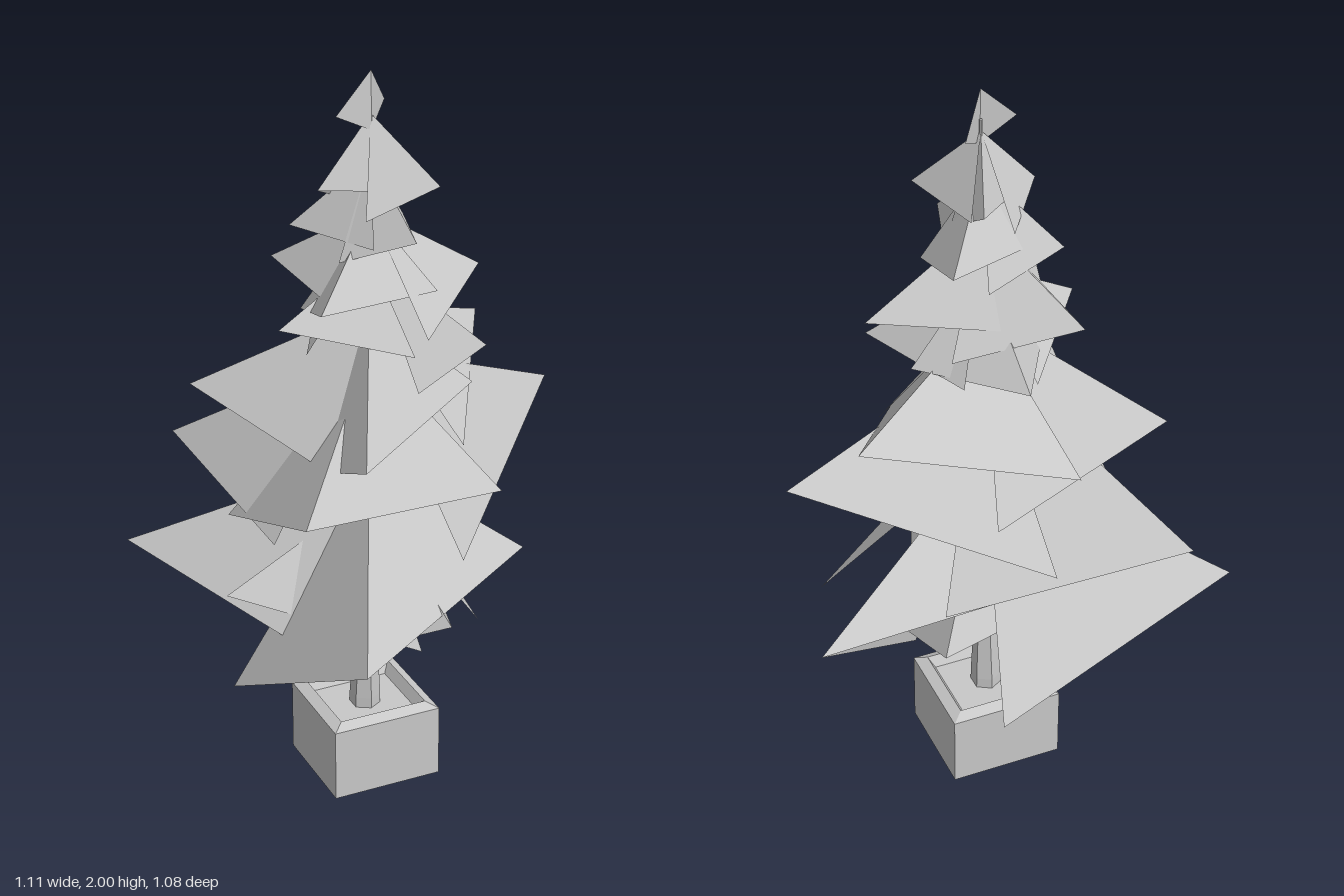
import * as THREE from 'three';

const V = (x, y, z) => new THREE.Vector3(x, y, z);

// Gives every face its own flat normal
function facet(geometry) {
  const flat = geometry.index ? geometry.toNonIndexed() : geometry;
  flat.computeVertexNormals();
  return flat;
}

// Folded bough: two triangles sharing the ridge from trunk to tip
function boughGeometry(apex, tip, sideA, sideB) {
  const g = new THREE.BufferGeometry().setFromPoints([apex, tip, sideA, apex, sideB, tip]);
  // turn each face so that its front looks upwards
  const p = g.attributes.position;
  for (let i = 0; i < 6; i += 3) {
    const [a, b, c] = [0, 1, 2].map(k => new THREE.Vector3().fromBufferAttribute(p, i + k));
    if (b.clone().sub(a).cross(c.clone().sub(a)).y < 0) {
      p.setXYZ(i + 1, c.x, c.y, c.z);
      p.setXYZ(i + 2, b.x, b.y, b.z);
    }
  }
  g.computeVertexNormals();
  return g;
}

// Side corner of a small bough: the tip swung around the trunk, shortened and lowered
function swing(tip, angle, length, drop) {
  const s = tip.clone().sub(V(-0.01, 0, -0.03)).applyAxisAngle(V(0, 1, 0), angle);
  return V(s.x * length - 0.01, tip.y - drop, s.z * length - 0.03);
}

export function createModel() {
  const model = new THREE.Group();
  model.name = 'pottedFir';
  const grey = new THREE.MeshStandardMaterial({ color: 0xc8c8c8 });
  grey.name = 'paleGrey';
  grey.flatShading = true;
  grey.side = THREE.DoubleSide;

  const add = (name, geometry, parent = model) => {
    const mesh = new THREE.Mesh(geometry, grey);
    mesh.name = name;
    parent.add(mesh);
  };

  // Square pot with a bevelled rim and sunken soil
  const profile = [[0, 0.004], [0.155, 0.004], [0.155, 0.21], [0.125, 0.225], [0.108, 0.195], [0, 0.195]]
    .map(([r, y]) => new THREE.Vector2(r * Math.SQRT2, y));
  const potGeometry = new THREE.LatheGeometry(profile, 4, Math.PI / 4);
  potGeometry.scale(1, 1, 0.95);
  potGeometry.translate(-0.01, 0, -0.067);
  add('pot', facet(potGeometry));

  // Six-sided trunk, tapering and leaning slightly forwards
  const rings = [[0, 0.044, -0.065], [0.225, 0.042, -0.063], [0.5, 0.026, -0.055],
    [1.2, 0.015, -0.035], [1.92, 0.004, -0.022]];
  const trunk = new THREE.CylinderGeometry(1, 1, 4, 6, 4);
  const p = trunk.attributes.position;
  for (let i = 0; i < p.count; i++) {
    const [y, r, z] = rings[Math.round(p.getY(i) + 2)];
    p.setXYZ(i, p.getX(i) * r - 0.012, y, p.getZ(i) * r + z);
  }
  add('trunk', facet(trunk));

  // Large tiers: apex height, then tip and two side corners of each bough
  const largeTiers = [
    [0.95, [
      [V(-0.28, 0.66, 0.535), V(0.43, 0.61, 0.01), V(-0.405, 0.355, -0.04)],
      [V(-0.56, 0.655, -0.405), V(-0.19, 0.48, 0.24), V(0.12, 0.42, -0.485)],
      [V(0.55, 0.68, -0.33), V(0, 0.73, -0.36), V(0.2, 0.42, -0.08)],
    ]],
    [1.26, [
      [V(-0.37, 1.01, 0.38), V(0.29, 0.87, 0.14), V(-0.345, 0.78, -0.2)],
      [V(-0.37, 0.885, -0.54), V(-0.33, 0.82, 0.08), V(0.24, 0.755, -0.39)],
      [V(0.55, 1.05, -0.115), V(-0.03, 0.85, -0.465), V(0.17, 0.7, 0.16)],
    ]],
    [1.38, [
      [V(-0.21, 1.13, 0.38), V(0.28, 1.12, -0.02), V(-0.23, 0.98, 0.02)],
      [V(-0.4, 1.125, -0.31), V(-0.2, 1.03, 0.2), V(0.085, 0.955, -0.36)],
      [V(0.41, 1.215, -0.26), V(-0.14, 1.05, -0.36), V(0.17, 1.03, 0.15)],
    ]],
    [1.52, [
      [V(0, 1.34, -0.355), V(-0.2, 1.29, 0), V(0.2, 1.3, -0.08)],
      [V(-0.275, 1.37, 0), V(0.04, 1.29, 0.13), V(-0.09, 1.25, -0.2)],
      [V(0.24, 1.29, 0.13), V(0.12, 1.31, -0.23), V(0.05, 1.19, 0.13)],
    ]],
    // Crown: two blades meeting at the treetop
    [2.0, [[V(-0.015, 1.85, -0.01), V(-0.115, 1.9, 0), V(0.055, 1.9, -0.085)]]],
  ];
  // Small tiers: apex height, drop of the two sides, then the tip of each bough
  const smallTiers = [
    [0.85, 0.12, 0.17, [V(0.24, 0.62, -0.39), V(0.05, 0.62, 0.335), V(-0.41, 0.62, -0.06)]],
    [1.64, 0.01, 0.09, [V(0.305, 1.44, -0.045), V(-0.17, 1.45, -0.295), V(-0.22, 1.45, 0.14)]],
    [1.78, 0.01, 0.07, [V(-0.185, 1.59, -0.135), V(0.135, 1.61, -0.2), V(0.03, 1.605, 0.155)]],
    [1.89, 0.01, 0.07, [V(-0.165, 1.72, 0), V(0.12, 1.72, 0.1), V(0.03, 1.72, -0.14)]],
  ];
  const tiers = [
    ...largeTiers,
    ...smallTiers.map(([top, dropA, dropB, tips]) => [top, tips.map(
      tip => [tip, swing(tip, 1.75, 0.65, dropA), swing(tip, -1.3, 0.67, dropB)])]),
  ].sort((a, b) => a[0] - b[0]);
  tiers.forEach(([top, boughs], i) => {
    const tier = new THREE.Group();
    tier.name = 'foliageTier' + (i + 1);
    const apex = V(-0.012, top, -0.035 + Math.max(0, top - 1.2) * 0.02);
    for (const corners of boughs) add('bough', boughGeometry(apex, ...corners), tier);
    model.add(tier);
  });
  return model;
}
